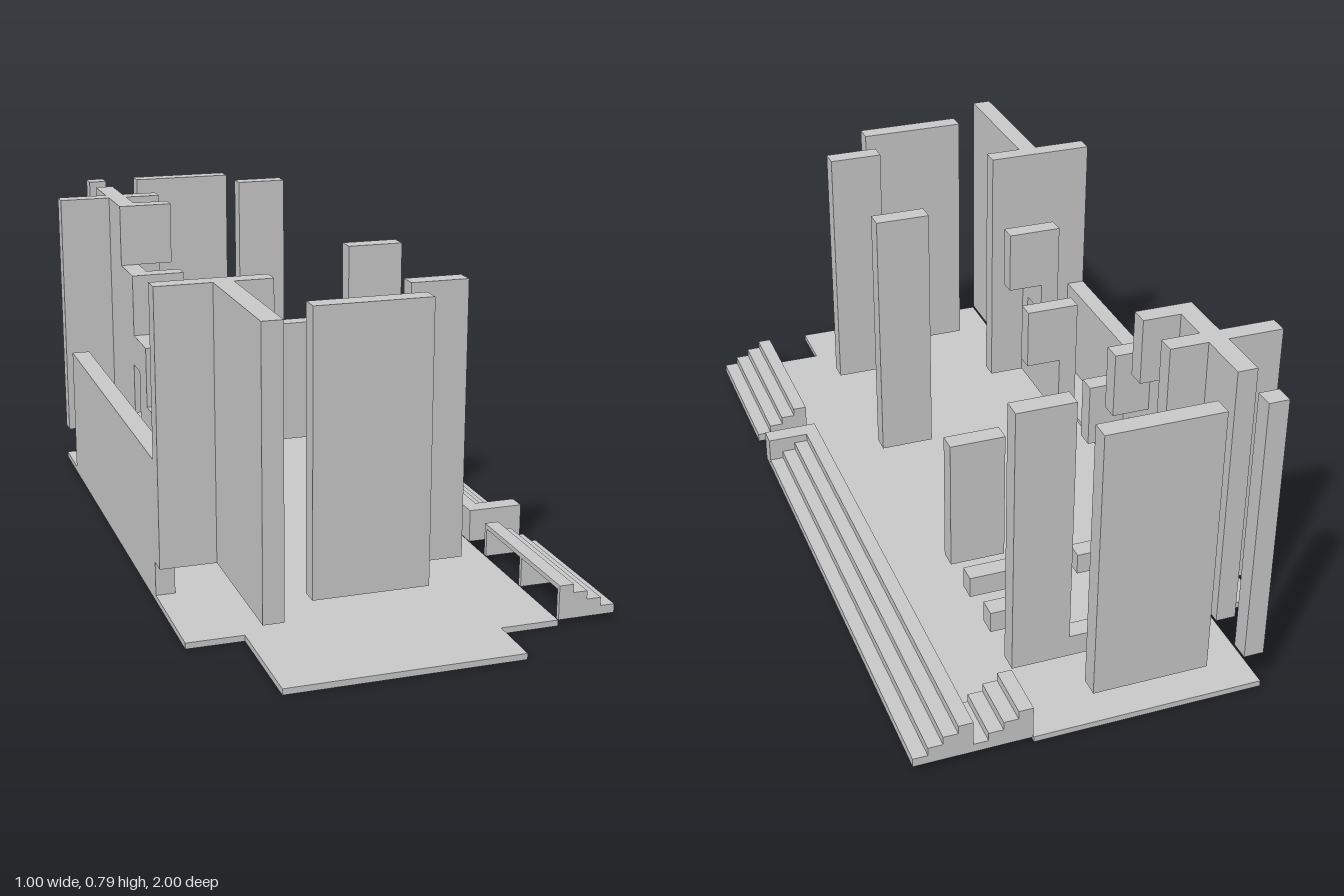
import * as THREE from 'three';

const material = new THREE.MeshStandardMaterial({ color: 0xcccccc, side: THREE.DoubleSide });
const GROUND = 0.015, BASE = 0.1, TOP = 0.786, T = 0.012;

function createBox(group, name, x0, x1, y0, y1, z0, z1) {
  const mesh = new THREE.Mesh(new THREE.BoxGeometry(x1 - x0, y1 - y0, z1 - z0), material);
  mesh.position.set((x0 + x1) / 2, (y0 + y1) / 2, (z0 + z1) / 2);
  mesh.name = name;
  group.add(mesh);
}

// Closed outline in (a, b), extruded along +z
function extrude(points, depth) {
  const shape = new THREE.Shape(points.map(([a, b]) => new THREE.Vector2(a, b)));
  return new THREE.ExtrudeGeometry(shape, { depth, bevelEnabled: false });
}

// Hollow flight of four steps descending towards +x, carried by upright ribs
function createStairs(name, x0, z0, z1, ribs) {
  const group = new THREE.Group();
  group.name = name;
  const run = 0.0357, rise = 0.021;
  const upper = [[x0, BASE]], lower = [[x0, BASE - T]];
  for (let i = 0; i < 4; i++) {
    const x = x0 + (i + 1) * run, y = BASE - i * rise;
    const next = i < 3 ? y - rise : GROUND;
    upper.push([x, y], [x, next]);
    lower.push([x - T, y - T], [x - T, i < 3 ? next - T : GROUND]);
  }
  const treads = new THREE.Mesh(extrude([...upper, ...lower.reverse()], z1 - z0), material);
  treads.name = 'stairTreads';
  treads.position.z = z0;
  group.add(treads);
  for (let i = 0; i < ribs; i++) {
    const rib = new THREE.Mesh(extrude([...upper, [x0, GROUND]], T), material);
    rib.name = 'stairRib';
    rib.position.z = z0 + (z1 - z0 - T) * i / (ribs - 1);
    group.add(rib);
  }
  return group;
}

// Side wall drawn in (-z, y), with an optional window, 0.05 thick in x
function createSideWall(name, outline, window) {
  const shape = new THREE.Shape(outline.map(([z, y]) => new THREE.Vector2(-z, y)));
  const [z0, z1] = window;
  shape.holes.push(new THREE.Path([[z0, 0.22], [z1, 0.22], [z1, 0.36], [z0, 0.36]]
    .map(([z, y]) => new THREE.Vector2(-z, y))));
  const geometry = new THREE.ExtrudeGeometry(shape, { depth: 0.05, bevelEnabled: false });
  geometry.rotateY(Math.PI / 2);
  const mesh = new THREE.Mesh(geometry, material);
  mesh.position.x = -0.36;
  mesh.name = name;
  return mesh;
}

export function createModel() {
  const model = new THREE.Group();
  model.name = 'ruinedHall';

  // Ground plate
  const plate = new THREE.Mesh(extrude([
    [-0.36, -1], [0.212, -1], [0.212, -0.857], [0.356, -0.857], [0.356, 0.857], [0.212, 0.857],
    [0.212, 1], [-0.36, 1], [-0.36, 0.714], [-0.5, 0.714], [-0.5, -0.714], [-0.36, -0.714],
  ], GROUND), material);
  plate.geometry.rotateX(Math.PI / 2);
  plate.geometry.scale(1, 1, 1);
  plate.position.y = GROUND;
  plate.name = 'groundPlate';
  model.add(plate);

  // Steps along the left side and at the back corner
  model.add(createStairs('longStairs', 0.357, -1, 0.29, 7));
  model.add(createStairs('frontStairs', 0.357, 0.43, 0.857, 3));
  model.add(createStairs('backStairs', 0.214, -1, -0.86, 2));
  createBox(model, 'stairCheek', 0.357, 0.5, GROUND, BASE, 0.287, 0.335);

  // Broken side walls stepping down to a gap
  model.add(createSideWall('backSideWall', [
    [-0.857, BASE], [-0.143, BASE], [-0.143, 0.28], [-0.238, 0.28], [-0.238, 0.447], [-0.381, 0.447],
    [-0.381, 0.617], [-0.524, 0.617], [-0.524, TOP], [-0.857, TOP],
  ], [-0.39, -0.32]));
  model.add(createSideWall('frontSideWall', [
    [0.143, BASE], [0.857, BASE], [0.857, TOP], [0.43, TOP], [0.43, 0.447], [0.287, 0.447],
    [0.287, 0.28], [0.143, 0.28],
  ], [0.32, 0.39]));

  // Cross walls through the side walls
  for (const z of [-0.715, 0.43]) createBox(model, 'crossWall', -0.5, -0.214, BASE, TOP, z, z + 0.047);

  // Short lintel stubs: z, bottom, top
  for (const [z, y0, y1] of [[-0.571, 0.617, TOP], [-0.43, 0.447, 0.617], [-0.287, 0.28, 0.447],
    [0.143, 0.28, 0.447], [0.287, 0.447, 0.617]]) {
    createBox(model, 'lintelStub', -0.36, -0.214, y0, y1, z, z + 0.048);
  }

  // Row of piers on the left: z, top
  for (const [z, top] of [[-0.857, TOP], [-0.715, 0.155], [-0.571, 0.155], [-0.43, 0.447],
    [0.143, TOP], [0.571, TOP]]) {
    createBox(model, 'pier', 0.07, 0.212, BASE, top, z, z + 0.048);
  }

  // End panels, corner post and low wall remains
  createBox(model, 'backPanel', -0.214, 0.07, BASE, TOP, -1, -0.952);
  createBox(model, 'frontPanel', -0.214, 0.07, BASE, TOP, 0.714, 0.762);
  createBox(model, 'cornerPost', -0.36, -0.31, BASE, TOP, -1, -0.952);
  createBox(model, 'lowWall', -0.214, 0.07, BASE, 0.155, -0.857, -0.81);
  createBox(model, 'lowWall', -0.214, -0.07, BASE, 0.155, -0.571, -0.523);

  // Raised side passage with its outer wall
  createBox(model, 'passageFloor', -0.452, -0.357, 0.088, BASE, -0.571, 0.43);
  createBox(model, 'passageOuterWall', -0.5, -0.452, GROUND, 0.36, -0.571, 0.43);

  return model;
}
